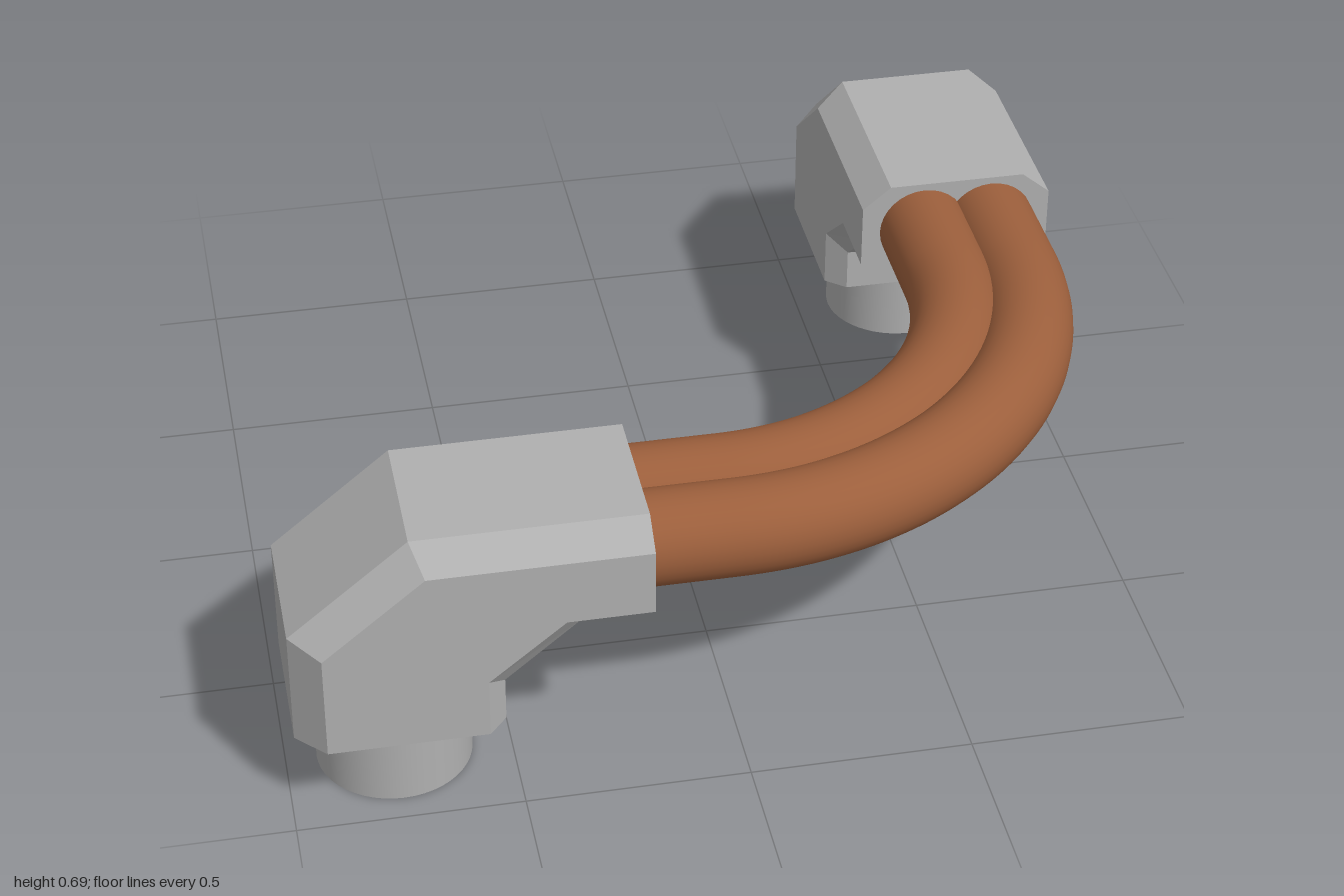
import * as THREE from 'three';

const metal = new THREE.MeshStandardMaterial({ color: 0xb0b0b0 });
metal.name = 'grey metal';
const copper = new THREE.MeshStandardMaterial({ color: 0x9c5f3c });
copper.name = 'copper brown';

const PIPE_Y = 0.567, PIPE_R = 0.106;

function addMesh(parent, name, geometry, material, x = 0, y = 0, z = 0) {
  const mesh = new THREE.Mesh(geometry, material);
  mesh.name = name;
  mesh.position.set(x, y, z);
  parent.add(mesh);
  return mesh;
}

// Chamfered eight-sided section swept from the pipe mouth (+x) down to the foot
function elbowGeometry() {
  // Per station: outer face, outer chamfer, inner chamfer, inner face (x, y)
  const stations = [
    [[0.547, 0.69], [0.547, 0.635], [0.547, 0.48], [0.547, 0.446]],
    [[0.037, 0.69], [0.062, 0.635], [0.357, 0.48], [0.397, 0.446]],
    [[-0.228, 0.472], [-0.163, 0.45], [0.187, 0.342], [0.228, 0.305]],
    [[-0.228, 0.2], [-0.163, 0.2], [0.187, 0.2], [0.228, 0.2]],
  ];
  const rings = stations.map(([o, oc, ic, i]) => [
    [...o, -0.163], [...o, 0.163], [...oc, 0.23], [...ic, 0.23],
    [...i, 0.182], [...i, -0.182], [...ic, -0.23], [...oc, -0.23],
  ]);
  const positions = [];
  const tri = (a, b, c) => positions.push(...a, ...b, ...c);
  for (let s = 0; s < rings.length - 1; s++) {
    for (let j = 0; j < 8; j++) {
      const k = (j + 1) % 8;
      const a = rings[s][j], b = rings[s][k], c = rings[s + 1][k], d = rings[s + 1][j];
      tri(a, d, b);
      tri(b, d, c);
    }
  }
  // End caps
  const first = rings[0], last = rings[rings.length - 1];
  for (let j = 1; j < 7; j++) {
    tri(first[0], first[j], first[j + 1]);
    tri(last[0], last[j + 1], last[j]);
  }
  const geometry = new THREE.BufferGeometry();
  geometry.setAttribute('position', new THREE.Float32BufferAttribute(positions, 3));
  geometry.computeVertexNormals();
  return geometry;
}

// Elbow housing with its round plug underneath
function makeFitting(name) {
  const fitting = new THREE.Group();
  fitting.name = name;
  addMesh(fitting, 'elbowHousing', elbowGeometry(), metal);
  addMesh(fitting, 'plug', new THREE.CylinderGeometry(0.173, 0.173, 0.21, 48), metal, 0, 0.105, 0);
  return fitting;
}

// Quarter bend with a straight run at each end
function makePipe(name, radius) {
  const pipe = new THREE.Group();
  pipe.name = name;
  const length = 0.24;
  const bend = new THREE.TorusGeometry(radius, PIPE_R, 32, 64, Math.PI / 2).rotateX(Math.PI / 2);
  addMesh(pipe, 'bend', bend, copper);
  const run = () => new THREE.CylinderGeometry(PIPE_R, PIPE_R, length, 32);
  addMesh(pipe, 'frontRun', run().rotateZ(Math.PI / 2), copper, -length / 2, 0, radius);
  addMesh(pipe, 'sideRun', run().rotateX(Math.PI / 2), copper, radius, 0, -length / 2);
  return pipe;
}

export function createModel() {
  const model = new THREE.Group();
  model.name = 'pipeConnector';

  const front = makeFitting('frontFitting');
  front.position.set(-0.758, 0, 0.766);
  const back = makeFitting('backFitting');
  back.position.set(0.755, 0, -0.772);
  back.rotation.y = -Math.PI / 2;

  // Twin pipes, merged along their shared seam
  const pipes = new THREE.Group();
  pipes.name = 'pipes';
  pipes.position.set(-0.011, PIPE_Y, 0);
  pipes.add(makePipe('innerPipe', 0.686), makePipe('outerPipe', 0.851));

  model.add(front, back, pipes);
  return model;
}
